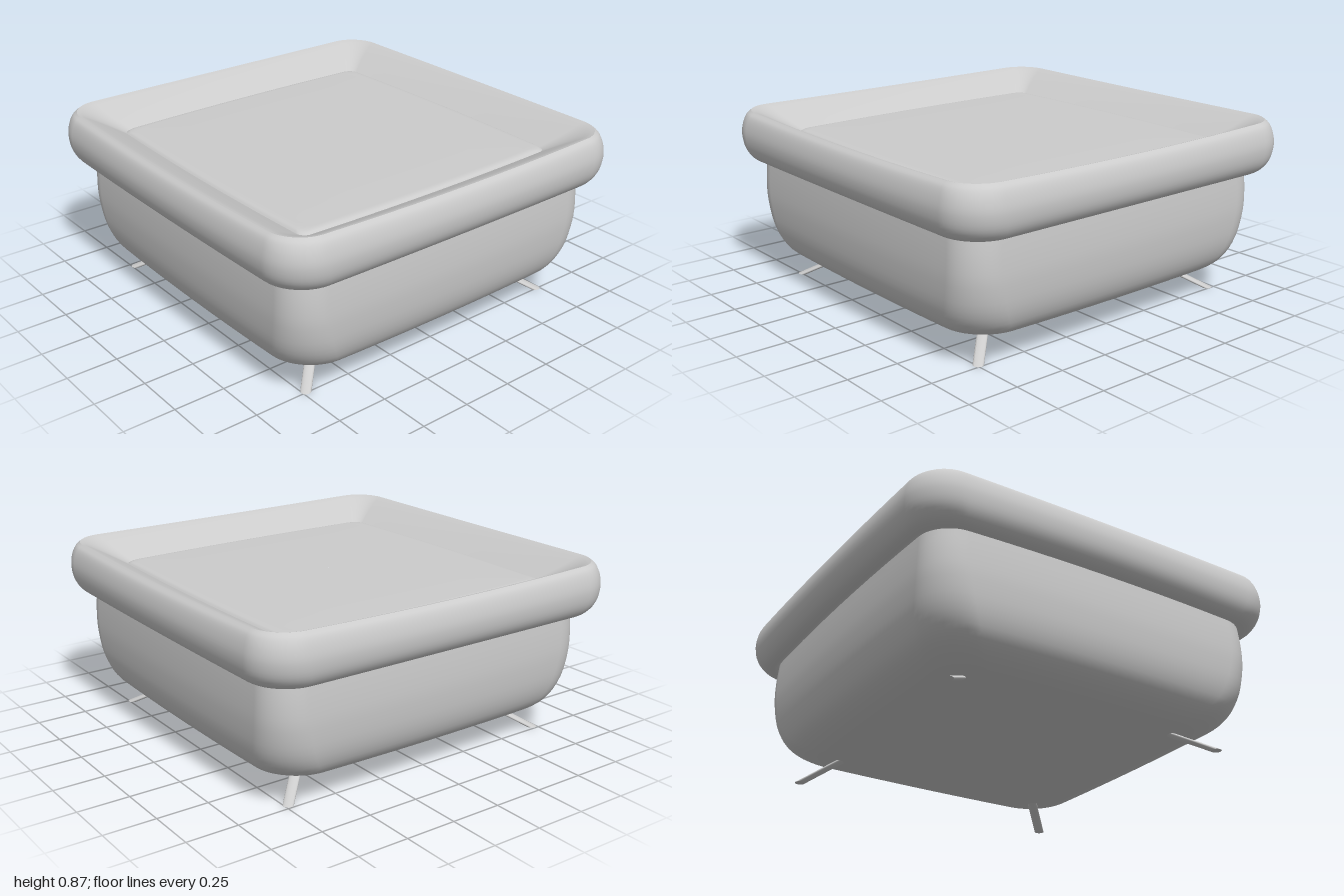
import * as THREE from 'three';

const material = new THREE.MeshStandardMaterial({ color: 0xcccccc });

// Rounded square outline with gently bowed sides, half-width h, corner radius r
function outline(h, r, bow = 0.022, arc = 10, side = 10) {
  const pts = [];
  const s = h - r;
  for (let k = 0; k < 4; k++) {
    const turn = (k * Math.PI) / 2;
    const local = [];
    for (let i = 0; i < side; i++) local.push([h, -s + (2 * s * i) / side]);
    for (let i = 0; i < arc; i++) {
      const a = (i / arc) * Math.PI / 2;
      local.push([s + r * Math.cos(a), s + r * Math.sin(a)]);
    }
    for (const [u, v] of local) {
      const x = u * Math.cos(turn) - v * Math.sin(turn);
      const z = u * Math.sin(turn) + v * Math.cos(turn);
      pts.push([x * (1 - bow * (z / h) ** 2), z * (1 - bow * (x / h) ** 2)]);
    }
  }
  return pts;
}

// Skin through stacked outlines; each section is [halfWidth, y, cornerRadius]
function loft(name, sections, bend = (x, y) => y) {
  const positions = [], index = [];
  let n = 0;
  sections.forEach(([h, y, r], j) => {
    const ring = outline(h, r);
    n = ring.length;
    for (const [x, z] of ring) positions.push(x, bend(x, y, z), z);
    if (j === 0) return;
    for (let i = 0; i < n; i++) {
      const a = (j - 1) * n + i, b = (j - 1) * n + ((i + 1) % n);
      index.push(a, a + n, b, b, a + n, b + n);
    }
  });
  const geometry = new THREE.BufferGeometry();
  geometry.setAttribute('position', new THREE.Float32BufferAttribute(positions, 3));
  geometry.setIndex(index);
  geometry.computeVertexNormals();
  const mesh = new THREE.Mesh(geometry, material);
  mesh.name = name;
  return mesh;
}

// Smooth a few [halfWidth, y, radius] control sections into many
function smooth(controls, count) {
  const curve = new THREE.CatmullRomCurve3(controls.map((c) => new THREE.Vector3(...c)));
  return curve.getPoints(count).map((p) => p.toArray());
}

// The padded rim is a little fuller towards its corners
const fuller = (x, y, z) => 0.745 + (y - 0.745) * (1 + 0.1 * (x * z) ** 2);

export function createModel() {
  const group = new THREE.Group();
  group.name = 'footstool';

  // Upholstered box with a soft lower edge
  const body = loft('body', [
    [0.001, 0.09, 0.0005], [0.35, 0.09, 0.1],
    ...smooth([
      [0.62, 0.092, 0.17], [0.75, 0.115, 0.19], [0.84, 0.17, 0.2], [0.885, 0.26, 0.19],
      [0.905, 0.4, 0.17], [0.905, 0.52, 0.16], [0.895, 0.66, 0.16],
    ], 24),
  ]);
  body.position.z = 0.01;
  group.add(body);

  // Rounded outside of the overhanging rim
  group.add(loft('rim', smooth([
    [0.87, 0.645, 0.14], [0.91, 0.622, 0.16], [0.955, 0.635, 0.18], [0.988, 0.68, 0.19],
    [1.0, 0.745, 0.19], [0.992, 0.8, 0.18], [0.975, 0.84, 0.17], [0.952, 0.86, 0.15],
  ], 28), fuller));

  // Sloping inner face of the rim
  group.add(loft('rimSlope', smooth([
    [0.952, 0.86, 0.15], [0.925, 0.851, 0.13], [0.84, 0.807, 0.08], [0.745, 0.752, 0.04],
  ], 10), fuller));

  // Sunken seat cushion
  group.add(loft('cushion', smooth([
    [0.752, 0.752, 0.04], [0.735, 0.765, 0.05], [0.68, 0.769, 0.08], [0.4, 0.773, 0.1], [0.001, 0.774, 0.0005],
  ], 16)));

  // Thin legs splayed along the diagonals, cut flat at the floor
  const height = 0.13, foot = 0.73, slope = 1.5;
  for (const sx of [-1, 1]) {
    for (const sz of [-1, 1]) {
      const geometry = new THREE.CylinderGeometry(0.025, 0.025, height, 16);
      geometry.translate(0, height / 2, 0);
      const p = geometry.attributes.position;
      for (let i = 0; i < p.count; i++) {
        const reach = foot - slope * p.getY(i);
        p.setX(i, p.getX(i) + sx * reach);
        p.setZ(i, p.getZ(i) + sz * reach + 0.01);
      }
      geometry.computeVertexNormals();
      const leg = new THREE.Mesh(geometry, material);
      leg.name = (sz > 0 ? 'front' : 'back') + (sx > 0 ? 'Left' : 'Right') + 'Leg';
      group.add(leg);
    }
  }
  return group;
}
